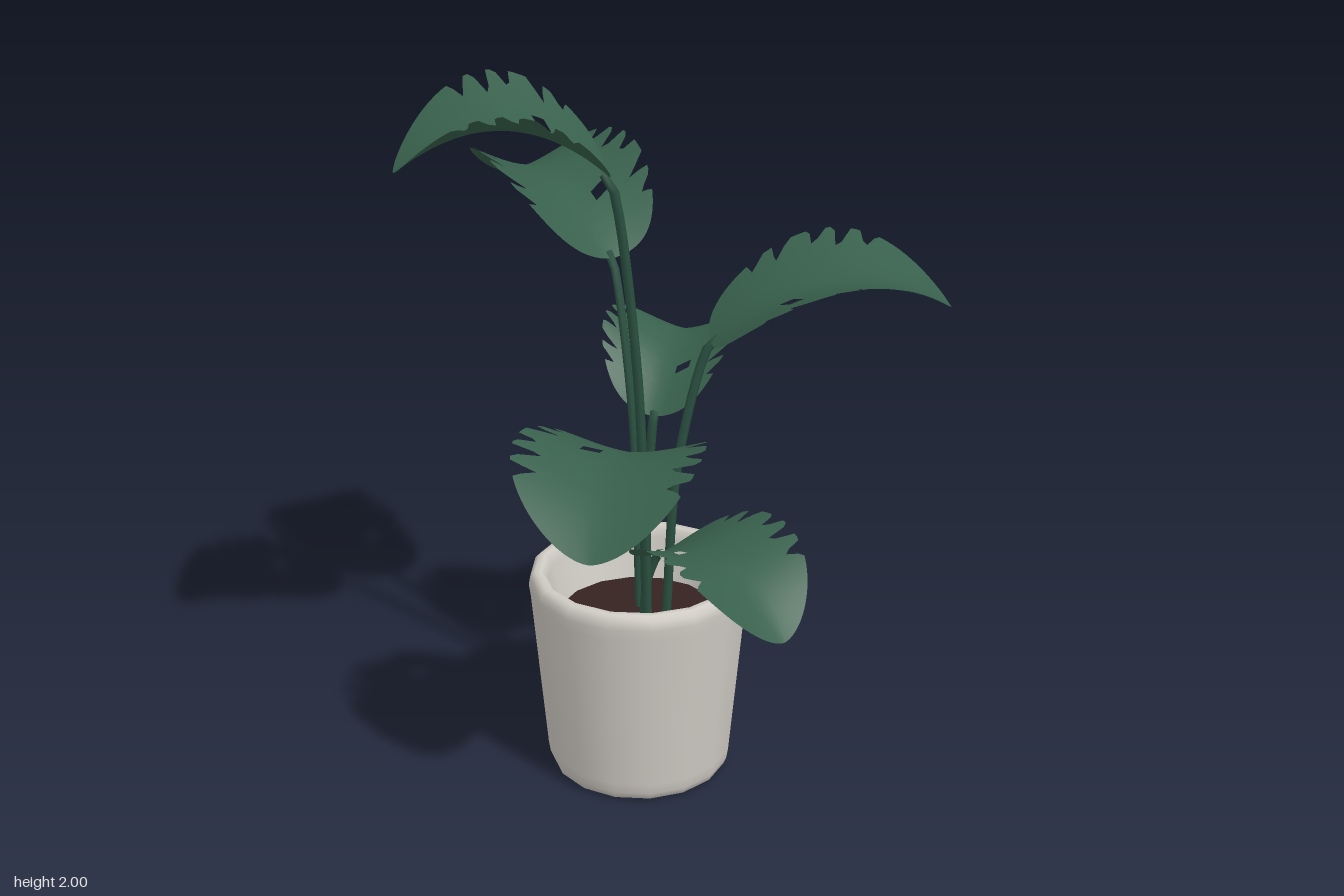
import * as THREE from 'three';

const mat = (color, side = THREE.FrontSide) => new THREE.MeshStandardMaterial({ color, side });
const leafMat = mat(0x38604c, THREE.DoubleSide);
const stemMat = mat(0x2a5040);
const potMat = mat(0xcfcbc4);
const soilMat = mat(0x35231f);

const POT = [-0.082, 0.118]; // pot centre in x, z
const SOIL_Y = 0.46;
const ROWS = 72, HALF = 5;

// slits along each leaf edge: [position, depth]
const NOTCHES = [[0.2, 0.2], [0.31, 0.3], [0.47, 0.26], [0.58, 0.38], [0.69, 0.28]];

// base, middle and tip of the midrib, half width, upward fold, and where the stem leaves the soil
const LEAVES = [
  { name: 'backLeaf', rib: [[-0.05, 1.46, -0.09], [-0.05, 1.61, -0.42], [-0.05, 1.55, -0.72]], half: 0.23, fold: 0.42, root: [-0.055, 0.07] },
  { name: 'topRightLeaf', rib: [[-0.18, 1.77, 0.13], [-0.43, 1.9, 0.03], [-0.69, 1.8, -0.07]], half: 0.25, fold: 0.38, root: [-0.065, 0.13] },
  { name: 'leftLeaf', rib: [[0.1, 1.28, 0.19], [0.4, 1.445, 0.335], [0.69, 1.37, 0.46]], half: 0.265, fold: 0.25, root: [-0.02, 0.16] },
  { name: 'frontRightLeaf', rib: [[-0.13, 1.0, 0.2], [-0.32, 1.065, 0.38], [-0.49, 0.93, 0.59]], half: 0.25, fold: 0.27, root: [-0.085, 0.17] },
  { name: 'frontLeaf', rib: [[-0.06, 0.68, 0.19], [-0.02, 0.765, 0.46], [0.02, 0.63, 0.71]], half: 0.205, fold: 0.33, root: [-0.09, 0.15] },
  { name: 'backLeftLeaf', rib: [[-0.01, 1.04, 0.07], [0.11, 1.18, -0.05], [0.23, 1.18, -0.17]], half: 0.19, fold: 0.45, root: [-0.03, 0.06] },
];

// Flat leaf point (along, across): veins fan out from the midrib to a notched oval outline
function flatPoint(i, j, length, half) {
  const theta = (Math.PI * i) / ROWS;
  const u = 0.5 - 0.5 * Math.cos(theta);
  const rib = u - 0.15 * Math.sin(Math.PI * u);
  let reach = 1;
  for (const [at, depth] of NOTCHES) {
    const centre = at + (j < 0 ? 0.015 : 0);
    reach -= depth * Math.max(0, 1 - Math.abs(u - centre) / 0.035);
  }
  const f = (Math.abs(j) / HALF) * reach;
  const edge = half * Math.pow(Math.max(0, Math.sin(theta)), 0.6 + 0.5 * u);
  return new THREE.Vector2((rib + (u - rib) * f) * length, Math.sign(j) * f * edge);
}

function leafGeometry(rib, half, fold) {
  const [a, b, c] = rib.map((p) => new THREE.Vector3(...p));
  const control = b.clone().multiplyScalar(2).addScaledVector(a, -0.5).addScaledVector(c, -0.5);
  const curve = new THREE.QuadraticBezierCurve3(a, control, c);
  const length = a.distanceTo(c);
  const side = new THREE.Vector3(a.z - c.z, 0, c.x - a.x).normalize();

  const position = [], index = [];
  const cols = HALF * 2 + 1;
  for (let i = 0; i <= ROWS; i++) {
    for (let j = -HALF; j <= HALF; j++) {
      const p = flatPoint(i, j, length, half);
      const v = curve.getPoint(Math.min(1, Math.max(0, p.x / length))).addScaledVector(side, p.y);
      v.y += fold * half * Math.pow(Math.abs(p.y) / half, 1.5); // edges fold upward
      position.push(v.x, v.y, v.z);
      const inHole = j === 1 && i >= 30 && i <= 32; // small hole beside the midrib
      if (i < ROWS && j < HALF && !inHole) {
        const n = i * cols + j + HALF;
        index.push(n, n + 1, n + cols, n + 1, n + cols + 1, n + cols);
      }
    }
  }
  const geometry = new THREE.BufferGeometry();
  geometry.setAttribute('position', new THREE.Float32BufferAttribute(position, 3));
  geometry.setIndex(index);
  geometry.computeVertexNormals();
  return geometry;
}

// Stem rising nearly straight, then bending out to the leaf base
function stemGeometry(root, rib) {
  const start = new THREE.Vector3(root[0], SOIL_Y - 0.02, root[1]);
  const end = new THREE.Vector3(...rib[0]);
  const middle = start.clone().lerp(end, 0.28);
  middle.y = start.y + (end.y - start.y) * 0.6;
  const inside = end.clone().lerp(new THREE.Vector3(...rib[1]), 0.06);
  const path = new THREE.CatmullRomCurve3([start, middle, end, inside]);
  return new THREE.TubeGeometry(path, 20, 0.013, 6);
}

export function createModel() {
  const group = new THREE.Group();
  const add = (name, geometry, material) => {
    const mesh = new THREE.Mesh(geometry, material);
    mesh.name = name;
    group.add(mesh);
    return mesh;
  };

  // tapered pot with rounded rim and hollow inside
  const profile = [
    [0, 0], [0.23, 0], [0.24, 0.001], [0.253, 0.008], [0.261, 0.028], [0.266, 0.06], [0.308, 0.54], [0.313, 0.575],
    [0.309, 0.6], [0.296, 0.614], [0.278, 0.614], [0.266, 0.604], [0.26, 0.58], [0.228, 0.44],
  ].map(([r, y]) => new THREE.Vector2(r, y));
  add('pot', new THREE.LatheGeometry(profile, 16), potMat).position.set(POT[0], 0, POT[1]);

  const soil = add('soil', new THREE.CircleGeometry(0.233, 16), soilMat);
  soil.rotation.x = -Math.PI / 2;
  soil.position.set(POT[0], SOIL_Y, POT[1]);

  for (const { name, rib, half, fold, root } of LEAVES) {
    add(name, leafGeometry(rib, half, fold), leafMat);
    add(name.replace('Leaf', 'Stem'), stemGeometry(root, rib), stemMat);
  }
  return group;
}
